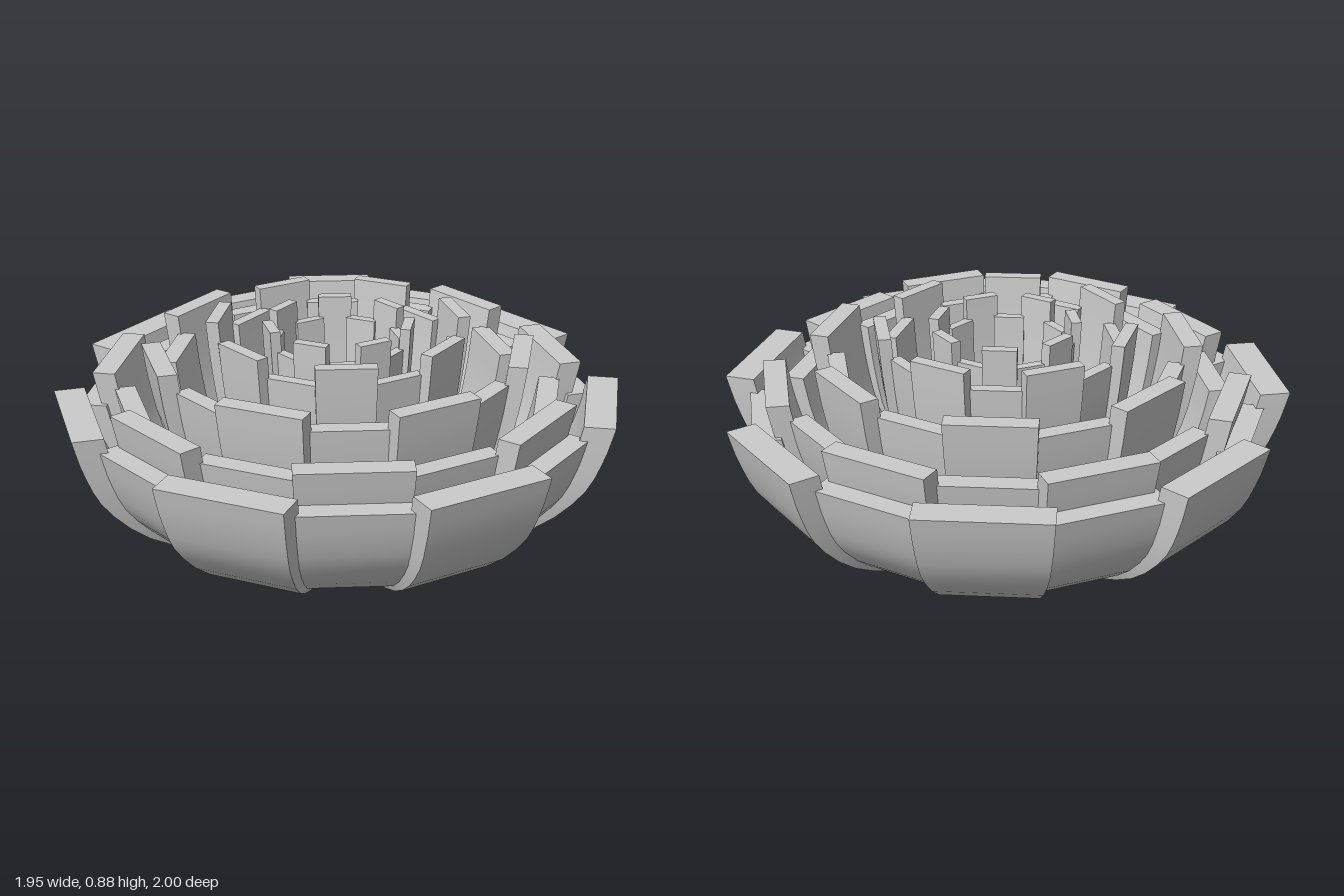
import * as THREE from 'three';

const PETALS = 7;
const STEP = (Math.PI * 2) / PETALS;

// Outer curve of a petal from base to rim, as fractions of rim radius and height
const profile = new THREE.CatmullRomCurve3(
  [[0.004, 0], [0.22, 0.025], [0.5, 0.15], [0.74, 0.33], [0.9, 0.58], [0.965, 0.8], [1, 1]]
    .map(([r, y]) => new THREE.Vector3(r, y, 0))
);

// A thick wedge bent along the profile, widening with its radius
function petalGeometry(radius, height, thickness) {
  const geometry = new THREE.BoxGeometry(1, 1, 1, 1, 16, 1);
  const pos = geometry.attributes.position;
  const p = new THREE.Vector3();
  for (let i = 0; i < pos.count; i++) {
    profile.getPoint(pos.getY(i) + 0.5, p);
    const inward = pos.getX(i) < 0 ? 1 - thickness : 1;
    const width = 2 * Math.tan(Math.PI / 14) * radius * p.x;
    pos.setXYZ(i, p.x * radius * inward, p.y * height, pos.getZ(i) * width);
  }
  geometry.computeVertexNormals();
  return geometry;
}

export function createModel() {
  const flower = new THREE.Group();
  flower.name = 'layeredFlower';
  const material = new THREE.MeshStandardMaterial({ color: 0xcccccc });

  // Rim radius, height and thickness fraction, from the outside in
  const layers = [
    [0.975, 0.635, 0.11],
    [0.84, 0.7, 0.095],
    [0.67, 0.805, 0.1],
    [0.45, 0.88, 0.1],
    [0.26, 0.88, 0.14],
  ];

  layers.forEach(([radius, height, thickness], n) => {
    const layer = new THREE.Group();
    layer.name = `petalLayer${n + 1}`;
    const start = n % 2 ? Math.PI : 0;
    // Tall petals alternate with slightly smaller ones in the gaps
    [['tallPetal', 1, start], ['shortPetal', 0.915, start + Math.PI]].forEach(([name, scale, angle]) => {
      const geometry = petalGeometry(radius * scale, height * scale, thickness);
      for (let k = 0; k < PETALS; k++) {
        const petal = new THREE.Mesh(geometry, material);
        petal.name = name;
        petal.rotation.y = angle + k * STEP;
        layer.add(petal);
      }
    });
    flower.add(layer);
  });
  return flower;
}
